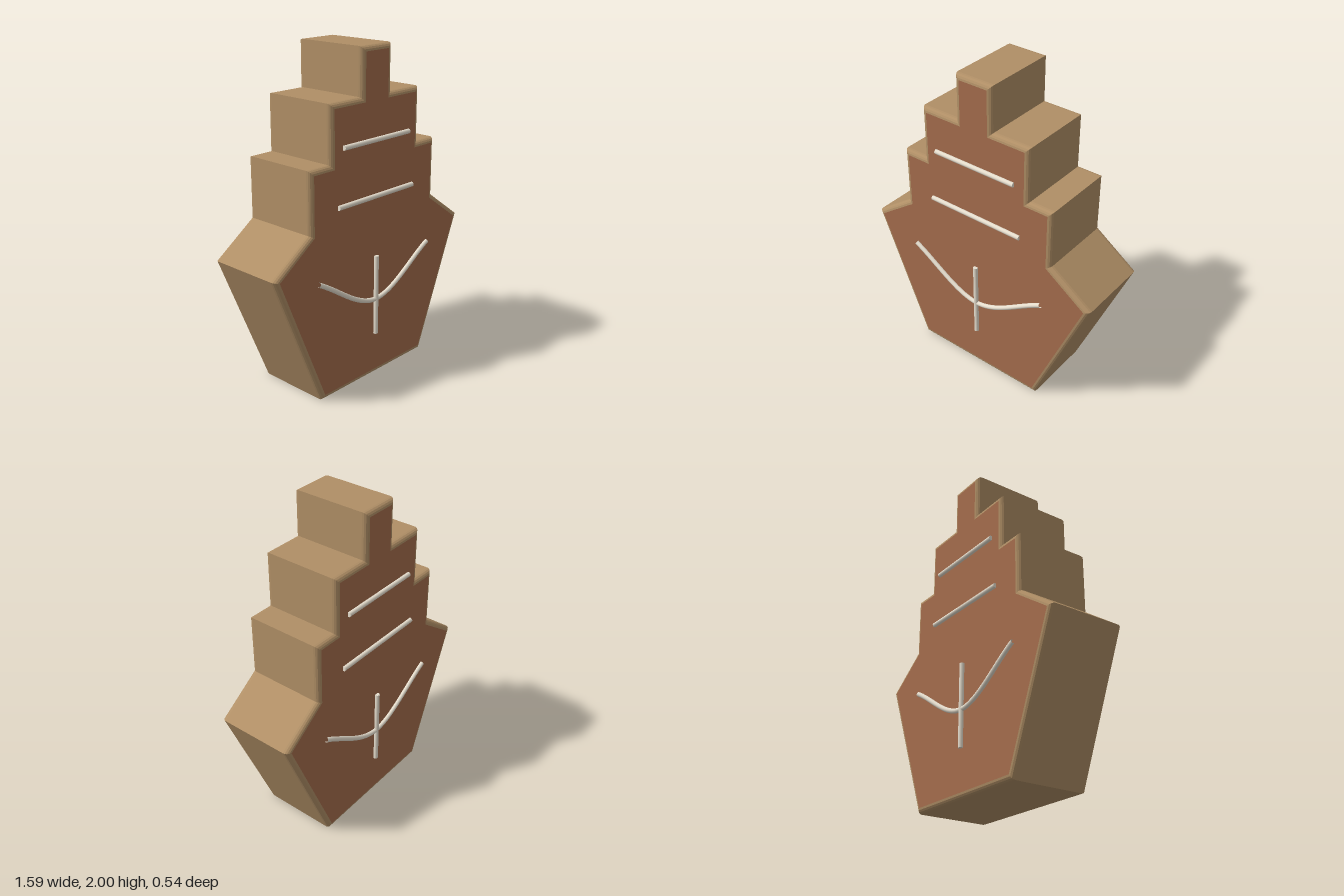
import * as THREE from 'three';

const HALF_DEPTH = 0.245, BEVEL = 0.03, ROD = 0.0145;

// Right-hand half of the ship outline, from keel to funnel top
const OUTLINE = [
  [0.447, 0], [0.795, 0.842], [0.527, 1.03], [0.527, 1.392],
  [0.37, 1.392], [0.37, 1.725], [0.124, 1.725], [0.124, 2],
];

export function createModel() {
  const model = new THREE.Group();
  model.name = 'toyShip';

  const faceMat = new THREE.MeshStandardMaterial({ color: 0xa46c4c });
  const edgeMat = new THREE.MeshStandardMaterial({ color: 0xb08f66 });
  const trimMat = new THREE.MeshStandardMaterial({ color: 0xe6dece, side: THREE.DoubleSide });

  // Stepped hull slab with rounded rims
  const mirrored = OUTLINE.map(([x, y]) => [-x, y]).reverse();
  const shape = new THREE.Shape([...OUTLINE, ...mirrored].map(([x, y]) => new THREE.Vector2(x, y)));
  const depth = 2 * (HALF_DEPTH - BEVEL);
  const bodyGeo = new THREE.ExtrudeGeometry(shape, {
    depth, bevelEnabled: true, bevelThickness: BEVEL, bevelSize: BEVEL,
    bevelOffset: -BEVEL, bevelSegments: 4,
  }).translate(0, 0, -depth / 2);
  const body = new THREE.Mesh(bodyGeo, [faceMat, edgeMat]);
  body.name = 'hull';
  model.add(body);

  // Inlaid rods, repeated on both faces
  const addRod = (parent, name, length, y, z, upright) => {
    const rod = new THREE.Mesh(new THREE.CylinderGeometry(ROD, ROD, length, 12), trimMat);
    rod.name = name;
    rod.position.set(0, y, z);
    if (!upright) rod.rotation.z = Math.PI / 2;
    parent.add(rod);
  };

  for (const side of [1, -1]) {
    const trim = new THREE.Group();
    trim.name = side > 0 ? 'frontTrim' : 'backTrim';
    const z = side * (HALF_DEPTH + 0.005);

    addRod(trim, 'upperDeckLine', 0.55, 1.473, z, false);
    addRod(trim, 'lowerDeckLine', 0.635, 1.142, z, false);
    addRod(trim, 'bowLine', 0.5, 0.525, z + side * 0.003, true);

    // Sagging curve across the bow
    const path = new THREE.CatmullRomCurve3([
      new THREE.Vector3(-0.475, 0.737, z),
      new THREE.Vector3(0, 0.5, z),
      new THREE.Vector3(0.475, 0.737, z),
    ]);
    const curve = new THREE.Mesh(new THREE.TubeGeometry(path, 40, ROD, 12), trimMat);
    curve.name = 'bowCurve';
    trim.add(curve);
    model.add(trim);
  }
  return model;
}
